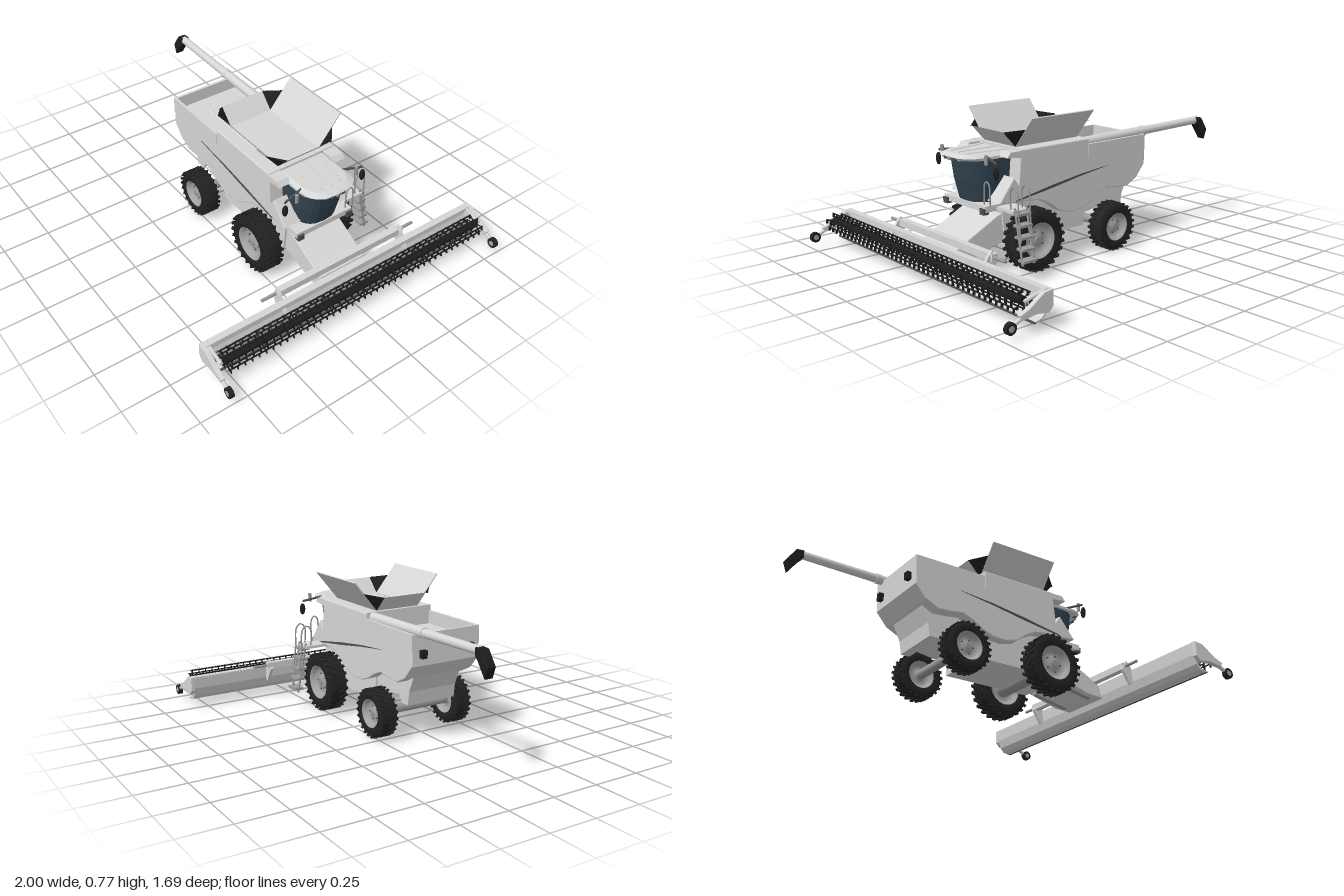
import * as THREE from 'three';

const mat = (name, color, side = THREE.FrontSide) => {
  const m = new THREE.MeshStandardMaterial({ color, side });
  m.name = name;
  return m;
};

export function createModel() {
  const root = new THREE.Group();
  root.name = 'combineHarvester';
  const paint = mat('paint', 0xd6d6d6, THREE.DoubleSide), steel = mat('steel', 0x9a9a9a);
  const rubber = mat('rubber', 0x222222), black = mat('blackMetal', 0x1e1e1e, THREE.DoubleSide);
  const glass = mat('glass', 0x324350), trim = mat('trim', 0x505050);
  const rim = mat('rim', 0xa4a4a4, THREE.DoubleSide);

  const add = (name, geo, m, x = 0, y = 0, z = 0, parent = root) => {
    const mesh = new THREE.Mesh(geo, m);
    mesh.name = name;
    mesh.position.set(x, y, z);
    parent.add(mesh);
    return mesh;
  };
  const box = (name, w, h, d, m, x, y, z) => add(name, new THREE.BoxGeometry(w, h, d), m, x, y, z);
  // Side profile (x, y) extruded across z from z0 to z1
  const slab = (name, pts, z0, z1, m, bevel = 0) => {
    const shape = new THREE.Shape(pts.map(p => new THREE.Vector2(...p)));
    const geo = new THREE.ExtrudeGeometry(shape, {
      depth: z1 - z0 - 2 * bevel, bevelEnabled: bevel > 0, bevelSize: bevel, bevelOffset: -bevel,
      bevelThickness: bevel, bevelSegments: 2,
    });
    return add(name, geo, m, 0, 0, z0 + bevel);
  };
  // Round bar between two points
  const bar = (name, a, b, r, m, r2 = r, sides = 8, parent = root) => {
    const p = new THREE.Vector3(...a), q = new THREE.Vector3(...b), d = q.clone().sub(p);
    const mesh = add(name, new THREE.CylinderGeometry(r2, r, d.length(), sides), m, 0, 0, 0, parent);
    mesh.position.copy(p.add(q).multiplyScalar(0.5));
    mesh.quaternion.setFromUnitVectors(new THREE.Vector3(0, 1, 0), d.normalize());
    return mesh;
  };
  // Thin sheet from three or four corners
  const plate = (name, pts, m) => {
    const g = new THREE.BufferGeometry();
    g.setAttribute('position', new THREE.Float32BufferAttribute(pts.flat(), 3));
    g.setIndex(pts.length === 4 ? [0, 1, 2, 0, 2, 3] : [0, 1, 2]);
    g.computeVertexNormals();
    return add(name, g, m);
  };
  // Solid between stacked plan outlines; each section is a list of [x, y, z]
  const loft = (name, sections, m) => {
    const n = sections[0].length, tri = [];
    for (let k = 0; k + 1 < sections.length; k++) for (let i = 0; i < n; i++) {
      const j = (i + 1) % n, [a, b, c, d] = [sections[k][i], sections[k][j], sections[k + 1][j], sections[k + 1][i]];
      tri.push(a, b, c, a, c, d);
    }
    const top = sections[sections.length - 1], low = sections[0];
    for (let i = 1; i < n - 1; i++) tri.push(top[0], top[i], top[i + 1], low[0], low[i + 1], low[i]);
    const g = new THREE.BufferGeometry();
    g.setAttribute('position', new THREE.Float32BufferAttribute(tri.flat(), 3));
    g.computeVertexNormals();
    return add(name, g, m);
  };

  // Body with waved lower edge; the rear deck sits below its side walls
  const edge = [[-0.46, 0.42], [-0.40, 0.35], [-0.33, 0.315], [-0.25, 0.32], [-0.18, 0.33], [-0.12, 0.305],
    [-0.06, 0.27], [0, 0.248], [0.08, 0.245], [0.15, 0.265], [0.21, 0.31], [0.27, 0.34], [0.34, 0.35], [0.45, 0.355]];
  slab('body', [...edge, [0.53, 0.365], [0.44, 0.48], [0.41, 0.44], [0.395, 0.61], [-0.05, 0.61], [-0.05, 0.51],
    [-0.46, 0.51]], -0.2, 0.2, paint, 0.006);
  for (const s of [1, -1]) {
    box('deckWall', 0.41, 0.085, 0.014, paint, -0.255, 0.537, s * 0.193);
    // Tapered crease along the flank
    const stripe = slab('sideCrease', [[-0.2, 0.452], [0, 0.425], [0.2, 0.392], [0.43, 0.36], [0.43, 0.366],
      [0.2, 0.406], [0, 0.434]], 0, 0.004, trim);
    stripe.position.z = s > 0 ? 0.199 : -0.203;
    box('rearLamp', 0.025, 0.04, 0.03, black, -0.472, 0.48, s * 0.14);
  }
  box('deckRearWall', 0.014, 0.085, 0.38, paint, -0.453, 0.537, 0);

  // Chassis, straw hood and axles
  slab('chassis', [[-0.06, 0.14], [0.46, 0.14], [0.48, 0.36], [-0.06, 0.36]], -0.15, 0.15, paint);
  slab('strawHood', [[-0.40, 0.37], [-0.35, 0.26], [-0.34, 0.19], [-0.29, 0.19], [-0.26, 0.23], [-0.06, 0.2], [-0.06, 0.37]],
    -0.14, 0.14, paint);
  bar('frontAxle', [0.34, 0.163, -0.2], [0.34, 0.163, 0.2], 0.045, steel);
  bar('rearAxle', [-0.19, 0.13, -0.2], [-0.19, 0.13, 0.2], 0.025, steel);

  // Wheels with chevron treads
  const wheel = (name, x, y, s, R, w) => {
    const g = new THREE.Group();
    g.name = name;
    g.position.set(x, y, s * 0.225);
    root.add(g);
    const lathe = pts => new THREE.LatheGeometry(pts.map(p => new THREE.Vector2(p[0] * R, p[1] * w)), 40).rotateX(Math.PI / 2);
    add('tyre', lathe([[0.56, -0.42], [0.7, -0.5], [0.88, -0.47], [0.95, -0.36], [0.96, 0], [0.95, 0.36], [0.88, 0.47],
      [0.7, 0.5], [0.56, 0.42]]), rubber, 0, 0, 0, g);
    for (const f of [1, -1])
      add('rim', lathe([[0.001, 0.28], [0.18, 0.28], [0.22, 0.2], [0.42, 0.16], [0.48, 0.36], [0.58, 0.46]]
        .map(p => [p[0], f * p[1]])), rim, 0, 0, 0, g);
    for (let i = 0; i < 5; i++) {
      const a = i * Math.PI * 0.4, bx = Math.cos(a) * R * 0.28, by = Math.sin(a) * R * 0.28;
      bar('wheelBolt', [bx, by, s * w * 0.15], [bx, by, s * w * 0.24], R * 0.03, trim, R * 0.03, 6, g);
    }
    add('hubCap', new THREE.CylinderGeometry(R * 0.11, R * 0.11, w * 0.7, 16).rotateX(Math.PI / 2), steel, 0, 0, 0, g);
    for (let i = 0; i < 48; i++) {
      const h = i % 2 ? 1 : -1;
      const lug = new THREE.BoxGeometry(R * 0.1, R * 0.06, w * 0.52).rotateY(h * 0.6)
        .translate(0, R * 0.965, h * w * 0.25).rotateZ(i * Math.PI / 24);
      add('treadLug', lug, rubber, 0, 0, 0, g);
    }
  };
  for (const s of [1, -1]) {
    wheel('frontWheel', 0.34, 0.163, s, 0.158, 0.105);
    wheel('rearWheel', -0.19, 0.13, s, 0.128, 0.095);
  }

  // Flared grain tank panels with dark fabric corners
  for (const s of [1, -1]) {
    box('tankSidePanel', 0.4, 0.2, 0.006, paint, 0.17, 0.688, s * 0.188).rotation.x = s * 0.687;
    for (const [x0, x1] of [[-0.03, -0.105], [0.37, 0.445]]) {
      plate('tankCorner', [[x0, 0.61, s * 0.125], [x1, 0.69, s * 0.125], [x0, 0.705, s * 0.203]], black);
      plate('tankCorner', [[x1, 0.69, s * 0.125], [x1, 0.685, s * 0.14], [x0, 0.705, s * 0.203]], black);
    }
  }
  for (const [x0, x1] of [[-0.03, -0.105], [0.37, 0.445]])
    plate('tankEndPanel', [[x0, 0.61, -0.125], [x0, 0.61, 0.125], [x1, 0.69, 0.125], [x1, 0.69, -0.125]], paint);

  // Unloading auger
  bar('augerElbow', [0, 0.56, -0.155], [-0.05, 0.583, -0.155], 0.03, paint, 0.03, 20);
  bar('augerPipe', [-0.03, 0.582, -0.155], [-0.5, 0.59, -0.155], 0.027, paint, 0.025, 20);
  bar('augerPipe', [-0.48, 0.59, -0.155], [-0.92, 0.598, -0.155], 0.023, paint, 0.021, 20);
  bar('augerCollar', [-0.47, 0.59, -0.155], [-0.5, 0.59, -0.155], 0.027, paint, 0.027, 20);
  slab('spout', [[-0.91, 0.575], [-0.91, 0.615], [-0.95, 0.612], [-1, 0.54], [-0.98, 0.485], [-0.93, 0.555]], -0.18, -0.13, black, 0.006);

  // Cab: curved glass, roof, platform
  const plan = (y, xb, xf, hw) => {
    const out = [[xb, y, hw]];
    for (let i = 0; i <= 10; i++) {
      const a = Math.PI / 2 - i * Math.PI / 10;
      out.push([xf - 0.1 + 0.1 * Math.cos(a), y, hw * Math.sign(Math.sin(a)) * Math.abs(Math.sin(a)) ** 0.7]);
    }
    return [...out, [xb, y, -hw]];
  };
  loft('cabGlass', [plan(0.355, 0.42, 0.585, 0.11), plan(0.46, 0.39, 0.61, 0.122), plan(0.575, 0.38, 0.628, 0.122)], glass);
  loft('cabRoof', [plan(0.572, 0.38, 0.66, 0.14), plan(0.585, 0.38, 0.68, 0.14), plan(0.598, 0.38, 0.65, 0.12)], paint);
  for (const z of [-0.08, 0, 0.08]) bar('roofRib', [0.40, 0.598, z * 1.2], [0.62, 0.598, z * 0.7], 0.005, paint);
  for (let i = -3; i <= 3; i++) box('workLamp', 0.015, 0.016, 0.022, i % 2 ? trim : steel, 0.672 - i * i * 0.004, 0.578, i * 0.03);
  box('cabPlatform', 0.17, 0.03, 0.34, paint, 0.505, 0.342, 0);
  for (const s of [1, -1]) {
    // Cab corner fairing, mirror and beacon
    slab('roofWing', [[0.38, 0.57], [0.48, 0.58], [0.46, 0.605], [0.38, 0.605]], s > 0 ? 0.13 : -0.2, s > 0 ? 0.2 : -0.13, paint);
    bar('mirrorArm', [0.55, 0.59, s * 0.12], [0.57, 0.57, s * 0.235], 0.006, trim);
    const mirror = add('mirror', new THREE.SphereGeometry(1, 14, 10), black, 0.575, 0.525, s * 0.235);
    mirror.scale.set(0.012, 0.032, 0.016);
    bar('beacon', [0.59, 0.56, s * 0.18], [0.59, 0.605, s * 0.18], 0.009, steel);
    box('platformLamp', 0.03, 0.03, 0.035, trim, 0.585, 0.33, s * 0.15);
  }

  // Ladder and handrails beside the cab
  const hoop = (name, pts, x) => add(name, new THREE.TubeGeometry(new THREE.CatmullRomCurve3(
    pts.map(p => new THREE.Vector3(x, p[0], p[1]))), 20, 0.004, 6), steel);
  for (const x of [0.44, 0.51]) {
    bar('ladderRail', [x, 0.09, -0.345], [x, 0.36, -0.29], 0.006, steel);
    hoop('handrail', [[0.2, -0.335], [0.33, -0.318], [0.44, -0.31], [0.46, -0.285], [0.44, -0.26], [0.33, -0.26]], x);
  }
  for (let i = 0; i < 5; i++) box('ladderStep', 0.08, 0.012, 0.05, steel, 0.475, 0.11 + i * 0.055, -0.34 + i * 0.011);
  box('ladderLanding', 0.1, 0.015, 0.14, paint, 0.475, 0.34, -0.225);
  hoop('cabRail', [[0.36, -0.14], [0.46, -0.145], [0.475, -0.162], [0.46, -0.18], [0.36, -0.185]], 0.575);

  // Feeder house and header mount
  slab('feederHouse', [[0.40, 0.17], [0.66, 0.1], [0.76, 0.095], [0.74, 0.17], [0.5, 0.29], [0.40, 0.32]], -0.14, 0.14, paint, 0.005);
  box('mountBeam', 0.035, 0.035, 0.78, paint, 0.715, 0.19, -0.01);
  bar('driveShaft', [0.715, 0.19, -0.48], [0.715, 0.19, 0.47], 0.008, steel);
  for (const s of [1, -1]) {
    slab('mountBracket', [[0.69, 0.17], [0.72, 0.22], [0.74, 0.2], [0.79, 0.12], [0.74, 0.09]], s * 0.38 - 0.008, s * 0.38 + 0.008, paint);
    bar('liftCylinder', [0.48, 0.14, s * 0.1], [0.7, 0.1, s * 0.1], 0.014, steel);
  }

  // Header trough, top beam, knife and crop auger
  slab('headerTrough', [[0.75, 0.17], [0.755, 0.11], [0.77, 0.065], [0.79, 0.042], [0.83, 0.034], [0.83, 0.042],
    [0.798, 0.05], [0.778, 0.07], [0.765, 0.115], [0.765, 0.17]], -0.82, 0.82, paint);
  box('headerTopBeam', 0.035, 0.02, 1.65, paint, 0.77, 0.165, 0);
  box('knifeBar', 0.012, 0.006, 1.64, trim, 0.834, 0.037, 0);
  bar('cropAuger', [0.797, 0.09, -0.81], [0.797, 0.09, 0.81], 0.014, steel, 0.014, 12);
  const helix = [];
  for (let i = 0; i <= 480; i++) {
    const a = i * Math.PI / 8;
    helix.push(new THREE.Vector3(0.797 + 0.018 * Math.cos(a), 0.09 + 0.018 * Math.sin(a), -0.8 + i / 300));
  }
  add('augerFlight', new THREE.TubeGeometry(new THREE.CatmullRomCurve3(helix), 480, 0.004, 4), trim);

  // Open reel with slim bats, spiders and tines
  bar('reelTube', [0.872, 0.138, -0.79], [0.872, 0.138, 0.79], 0.02, black, 0.02, 12);
  for (let k = 0; k < 6; k++) {
    const a = k * Math.PI / 3 + 0.3, x = 0.872 + 0.052 * Math.cos(a), y = 0.138 + 0.042 * Math.sin(a);
    bar('reelBat', [x, y, -0.79], [x, y, 0.79], 0.004, black, 0.004, 6);
    for (let i = 0; i <= 40; i++) box('reelTine', 0.012, 0.018, 0.003, black, x + 0.003, y - 0.009, -0.78 + i * 0.039);
    for (let i = 0; i <= 8; i++) bar('reelSpoke', [0.872, 0.138, -0.785 + i * 0.196], [x, y, -0.785 + i * 0.196], 0.004, black, 0.004, 4);
  }

  // End shields, reel arms and crop dividers with gauge wheels
  for (const s of [1, -1]) {
    slab('endShield', [[0.75, 0.175], [0.75, 0.1], [0.775, 0.075], [0.84, 0.085], [0.92, 0.075], [0.93, 0.1], [0.88, 0.118], [0.8, 0.17]],
      s * 0.83 - 0.012, s * 0.83 + 0.012, paint, 0.003);
    bar('reelArm', [0.76, 0.17, s * 0.808], [0.88, 0.14, s * 0.808], 0.009, paint);
    bar('dividerArm', [0.9, 0.09, s * 0.83], [0.97, 0.058, s * 0.83], 0.01, paint);
    add('gaugeWheel', new THREE.CylinderGeometry(0.027, 0.027, 0.022, 20).rotateX(Math.PI / 2), rubber, 0.973, 0.055, s * 0.83);
    add('gaugeHub', new THREE.CylinderGeometry(0.014, 0.014, 0.026, 16).rotateX(Math.PI / 2), rim, 0.973, 0.055, s * 0.83);
  }
  return root;
}
